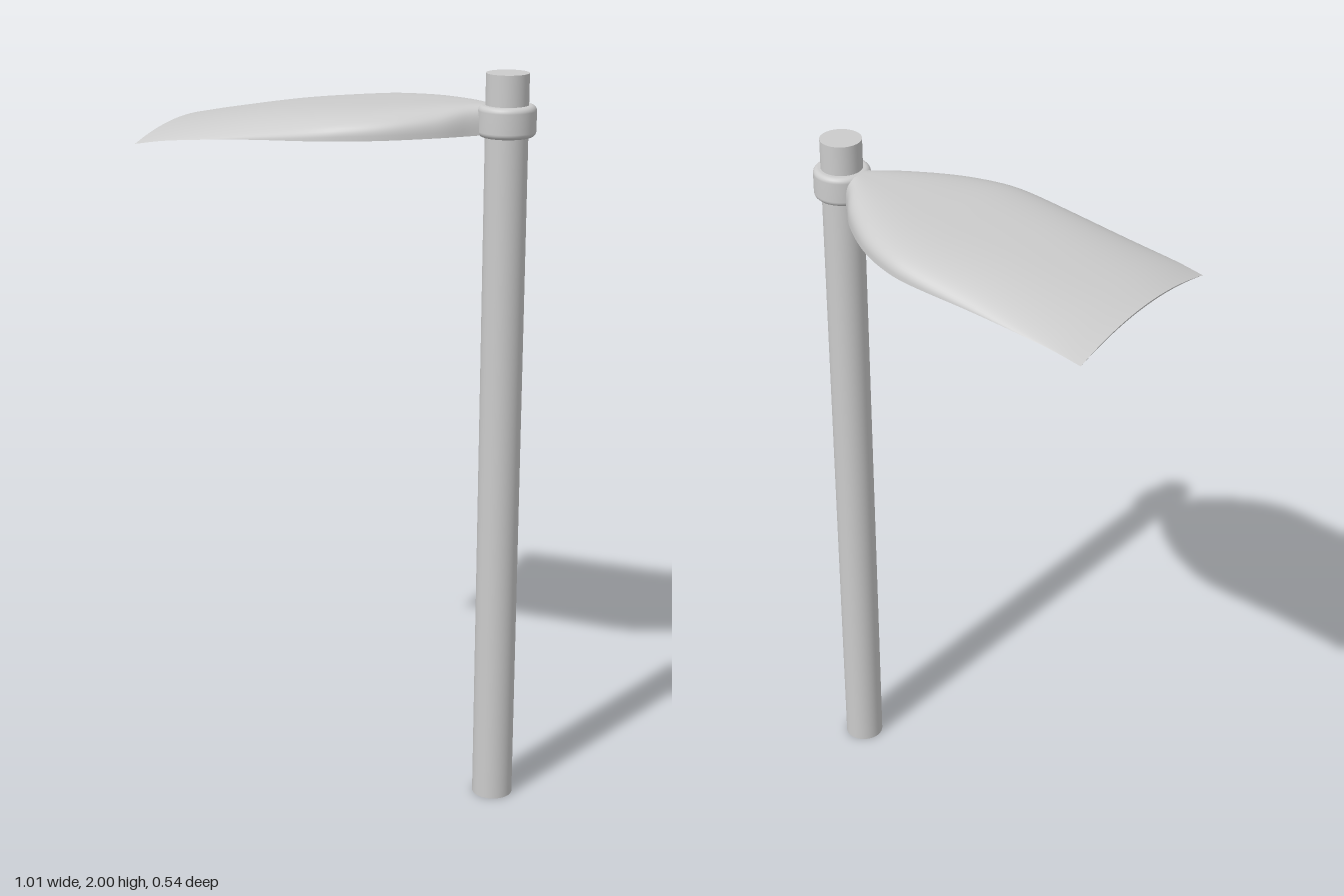
import * as THREE from 'three';
import { mergeGeometries } from 'three/addons/utils/BufferGeometryUtils.js';

const HANDLE_X = 0.43;
const ROWS = 64, COLS = 48;

// Blade stations from cutting edge to neck:
// x, top y, rim y, half width, underside arch, roundness
const STATIONS = [
  [-0.505, 1.828, 1.790, 0.270, 0.034, 0.00],
  [-0.400, 1.848, 1.807, 0.270, 0.030, 0.25],
  [-0.200, 1.882, 1.825, 0.270, 0.024, 0.60],
  [ 0.000, 1.904, 1.836, 0.269, 0.018, 0.90],
  [ 0.100, 1.911, 1.840, 0.250, 0.014, 1.00],
  [ 0.200, 1.917, 1.843, 0.205, 0.010, 1.00],
  [ 0.300, 1.920, 1.845, 0.132, 0.006, 1.00],
  [ 0.360, 1.920, 1.845, 0.068, 0.003, 1.00],
  [ 0.400, 1.918, 1.846, 0.030, 0.000, 1.00],
];

// Smooth grid of (rows + 1) x (cols + 1) points; at(r, c) returns [x, y, z]
function sheet(rows, cols, at, flip = false) {
  const pos = [], index = [];
  for (let r = 0; r <= rows; r++) {
    for (let c = 0; c <= cols; c++) pos.push(...at(r / rows, c / cols));
  }
  for (let r = 0; r < rows; r++) {
    for (let c = 0; c < cols; c++) {
      const a = r * (cols + 1) + c, b = a + cols + 1;
      if (flip) index.push(a, b, a + 1, a + 1, b, b + 1);
      else index.push(a, a + 1, b, a + 1, b + 1, b);
    }
  }
  const g = new THREE.BufferGeometry();
  g.setAttribute('position', new THREE.Float32BufferAttribute(pos, 3));
  g.setIndex(index);
  g.computeVertexNormals();
  return g;
}

// Domed blade: a rounded top, a shallow hollow underside and a thin cutting edge
function bladeGeometry() {
  const spline = (k) => new THREE.CatmullRomCurve3(
    STATIONS.map((s) => new THREE.Vector3(s[k], s[k + 1], s[k + 2])), false, 'catmullrom', 0.5);
  const profile = spline(0), section = spline(3);

  const point = (t, v, isTop) => {
    const { x, y: top, z: rim } = profile.getPoint(t);
    const { x: width, y: arch, z: round } = section.getPoint(t);
    const u = -Math.cos(Math.PI * v);
    const k = THREE.MathUtils.clamp(round, 0, 1);
    const dome = Math.pow(Math.max(0, 1 - Math.pow(Math.abs(u), 2 + k)), 1 - 0.65 * k);
    const y = isTop ? rim + (top - rim) * dome : rim + arch * (1 - u * u);
    return [x, y, width * u];
  };

  return mergeGeometries([
    sheet(ROWS, COLS, (t, v) => point(t, v, true)),
    sheet(ROWS, COLS, (t, v) => point(t, v, false), true),
    sheet(1, COLS, (t, v) => point(0, v, t > 0.5)), // cutting edge
  ]);
}

// Ring around the handle with softened rims
function collarGeometry() {
  const inner = 0.05, outer = 0.075, low = 1.84, high = 1.92, bevel = 0.014;
  const pts = [new THREE.Vector2(inner, low)];
  const corner = (y, from) => {
    for (let i = 0; i <= 5; i++) {
      const a = from + (i / 5) * Math.PI / 2;
      pts.push(new THREE.Vector2(outer - bevel + bevel * Math.cos(a), y + bevel * Math.sin(a)));
    }
  };
  corner(low + bevel, -Math.PI / 2);
  corner(high - bevel, 0);
  pts.push(new THREE.Vector2(inner, high));
  return new THREE.LatheGeometry(pts, 48);
}

export function createModel() {
  const group = new THREE.Group();
  group.name = 'hoe';
  const material = new THREE.MeshStandardMaterial({ color: 0xcccccc });

  const add = (name, geometry, x = 0, y = 0) => {
    const mesh = new THREE.Mesh(geometry, material);
    mesh.name = name;
    mesh.position.set(x, y, 0);
    group.add(mesh);
  };

  add('handle', new THREE.CylinderGeometry(0.055, 0.055, 2, 48), HANDLE_X, 1);
  add('collar', collarGeometry(), HANDLE_X);
  add('blade', bladeGeometry());
  return group;
}
